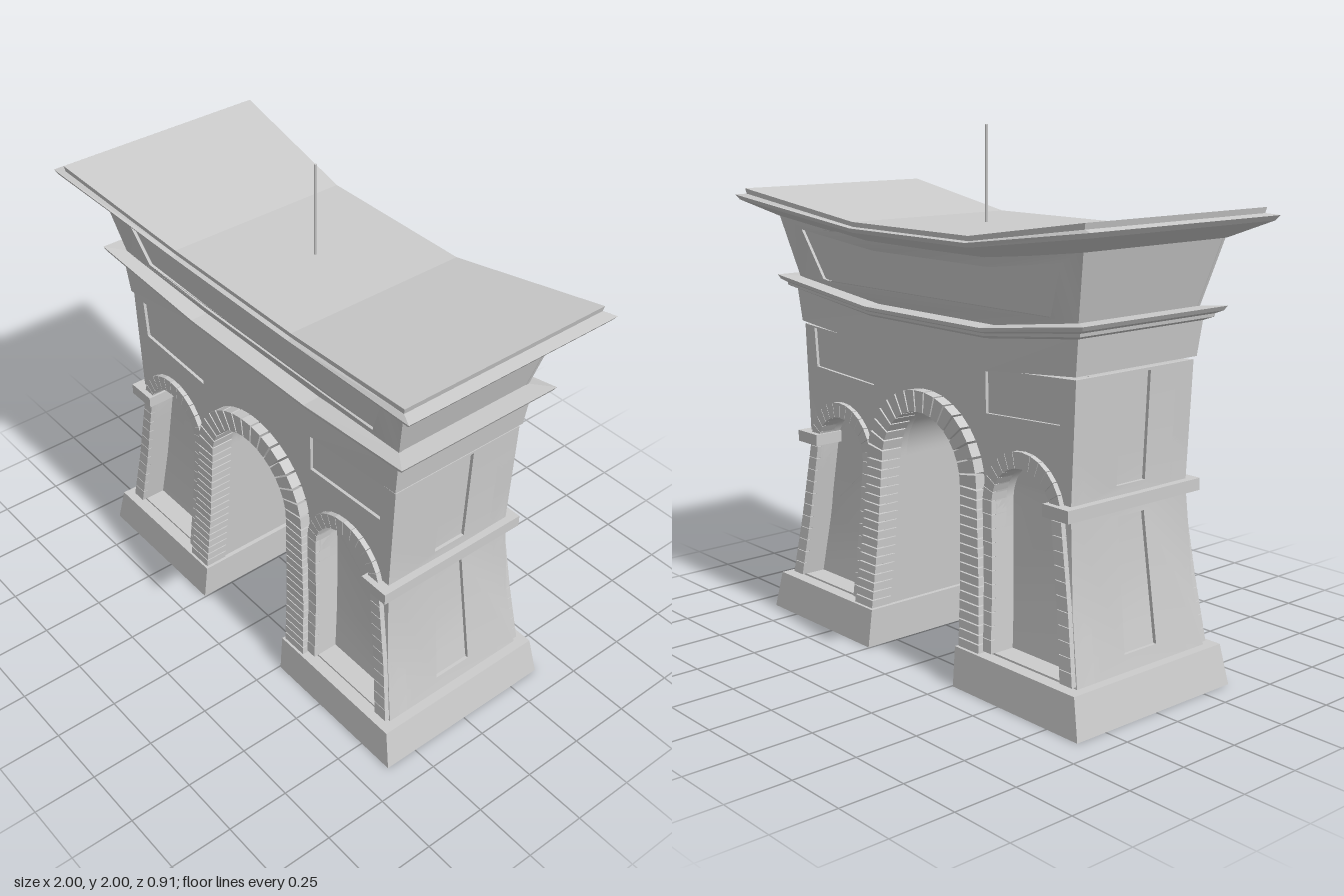
import * as THREE from 'three';
import { mergeGeometries, toCreasedNormals } from 'three/addons/utils/BufferGeometryUtils.js';

const material = new THREE.MeshStandardMaterial({ color: 0xcccccc });
const BREAK = 0.33; // the upper tiers are level inside this x and sweep up outside it
const LEVELS = [0.15, 0.25, 0.4, 0.55, 0.75, 0.95, 1.2];
const lerp = THREE.MathUtils.lerp;

// Piecewise linear lookup
function table(rows) {
  return (y) => {
    let i = 1;
    while (i < rows.length - 1 && y > rows[i][0]) i++;
    const [a, b] = [rows[i - 1], rows[i]];
    return lerp(a[1], b[1], THREE.MathUtils.clamp((y - a[0]) / (b[0] - a[0]), 0, 1));
  };
}
const halfWidth = table([[0.15, 0.83], [0.4, 0.785], [0.75, 0.755], [1.2, 0.775]]);
const halfDepth = table([[0.15, 0.32], [0.4, 0.3], [0.75, 0.285], [1.2, 0.288]]);

function mesh(name, geometry) {
  const m = new THREE.Mesh(geometry, material);
  m.name = name;
  return m;
}

const toShape = (pts) => new THREE.Shape(pts.map((p) => new THREE.Vector2(p[0], p[1])));

// Extrude a shape to unit depth, then move each vertex by a rule
function warped(points, holes, rule) {
  const shape = toShape(points);
  shape.holes = holes.map(toShape);
  const g = new THREE.ExtrudeGeometry(shape, { depth: 1, bevelEnabled: false });
  const p = g.attributes.position;
  for (let i = 0; i < p.count; i++) p.setXYZ(i, ...rule(p.getX(i), p.getY(i), p.getZ(i)));
  return toCreasedNormals(g, 0.5);
}

// Flat-shaded stack of rings: [middle y, half width, middle depth, end depth, end lift]
function tier(name, rings) {
  const loops = rings.map(([y, w, dm, de, lift]) => [
    [w, y + lift, de], [BREAK, y, dm], [-BREAK, y, dm], [-w, y + lift, de],
    [-w, y + lift, -de], [-BREAK, y, -dm], [BREAK, y, -dm], [w, y + lift, -de]]);
  const v = [];
  const quad = (a, b, c, d) => v.push(...a, ...b, ...c, ...a, ...c, ...d);
  for (let r = 0; r + 1 < loops.length; r++) {
    for (let i = 0; i < 8; i++) {
      const j = (i + 1) % 8;
      quad(loops[r][j], loops[r][i], loops[r + 1][i], loops[r + 1][j]);
    }
  }
  const lo = loops[0], hi = loops[loops.length - 1];
  for (const [a, b, c, d] of [[0, 1, 6, 7], [1, 2, 5, 6], [2, 3, 4, 5]]) {
    quad(lo[a], lo[b], lo[c], lo[d]);
    quad(hi[a], hi[d], hi[c], hi[b]);
  }
  const g = new THREE.BufferGeometry();
  g.setAttribute('position', new THREE.Float32BufferAttribute(v, 3));
  g.computeVertexNormals();
  return mesh(name, g);
}

// Arch line from the right foot over the crown to the left foot
function archLine({ foot, footY, cx, r, rise, spring }, legs, steps) {
  const pts = [];
  for (let i = 0; i < legs; i++) {
    const t = i / legs;
    pts.push([lerp(foot[0], cx + r, t), lerp(footY, spring, t)]);
  }
  for (let i = 0; i <= steps; i++) {
    const a = (Math.PI * i) / steps;
    pts.push([cx + r * Math.cos(a), spring + rise * Math.sin(a)]);
  }
  for (let i = legs - 1; i >= 0; i--) {
    const t = i / legs;
    pts.push([lerp(foot[1], cx - r, t), lerp(footY, spring, t)]);
  }
  return pts;
}

// Row of separate blocks between two arch lines, standing proud of the wall
function blocks(name, inner, outer, legs, steps, proud, gap) {
  const a = archLine(inner, legs, steps), b = archLine(outer, legs, steps);
  const mix = (p, q, t) => [lerp(p[0], q[0], t), lerp(p[1], q[1], t)];
  const list = [];
  for (let i = 0; i + 1 < a.length; i++) {
    const quad = [mix(a[i], a[i + 1], gap), mix(b[i], b[i + 1], gap),
      mix(b[i], b[i + 1], 1 - gap), mix(a[i], a[i + 1], 1 - gap)];
    list.push(warped(quad, [], (x, y, w) => [x, y, halfDepth(y) + lerp(-0.05, proud, w)]));
  }
  return mesh(name, mergeGeometries(list));
}

const gateInner = { foot: [0.26, -0.26], footY: 0.15, cx: 0, r: 0.23, rise: 0.23, spring: 0.74 };
const gateOuter = { foot: [0.37, -0.37], footY: 0.15, cx: 0, r: 0.32, rise: 0.31, spring: 0.74 };
const gateHole = { ...gateInner, foot: [0.268, -0.268], r: 0.238, rise: 0.238 };
const nicheInner = { foot: [0.765, 0.412], footY: 0.157, cx: 0.53, r: 0.152, rise: 0.145, spring: 0.71 };
const nicheOuter = { foot: [0.825, 0.37], footY: 0.157, cx: 0.53, r: 0.2, rise: 0.205, spring: 0.71 };
const flip = (pts) => pts.map(([x, y]) => [-x, y]);

// Wall outline with the gateway cut out of its foot
function wallOutline() {
  const right = LEVELS.map((y) => [halfWidth(y), y]);
  return [...right, [BREAK, 1.175], [-BREAK, 1.175], ...flip(right).reverse(),
    ...archLine(gateHole, 6, 28).reverse()];
}

// One decorated face: wall skins with recesses, arch blocks and the upper panel
function makeFace() {
  const face = new THREE.Group();
  const niche = archLine(nicheInner, 5, 20);
  const panel = [[0.325, 1.015], [0.7, 1.035], [0.713, 1.19], [0.325, 1.165]];
  const niches = [niche, flip(niche)];
  const skin = (name, holes, back, front) => mesh(name, warped(wallOutline(), holes,
    (x, y, w) => [x, y, halfDepth(y) - lerp(back, front, w)]));
  face.add(
    skin('nicheWall', niches, 0.085, 0.012),
    skin('panelWall', [...niches, panel, flip(panel)], 0.012, 0),
    blocks('gatewayBlocks', gateInner, gateOuter, 17, 17, 0.042, 0.07));
  const trim = blocks('nicheBlocks', nicheInner, nicheOuter, 11, 14, 0.02, 0.025);
  const other = trim.clone();
  other.geometry = blocks('', { ...nicheInner, foot: [-0.412, -0.765], cx: -0.53 },
    { ...nicheOuter, foot: [-0.37, -0.825], cx: -0.53 }, 11, 14, 0.02, 0.025).geometry;
  face.add(trim, other);

  // Attic frame: |s| to 1 is the level middle, 1 to 2 the rising end
  const outline = [[-2, 0], [-1, 0], [1, 0], [2, 0], [2, 1], [1, 1], [-1, 1], [-2, 1]];
  const hole = [[-1.68, 0.1], [-1, 0.1], [1, 0.1], [1.68, 0.1], [1.78, 0.82], [1, 0.82], [-1, 0.82], [-1.78, 0.82]];
  face.add(mesh('atticFrame', warped(outline, [hole], (s, v, w) => {
    const t = Math.max(0, Math.abs(s) - 1), width = lerp(0.79, 0.86, v);
    const x = Math.sign(s) * (BREAK * Math.min(1, Math.abs(s)) + t * (width - BREAK));
    const z = lerp(lerp(0.25, 0.285, v), lerp(0.295, 0.345, v), t);
    return [x, lerp(1.32, 1.575, v) + 0.068 * t, z - 0.012 * (1 - w)];
  })));
  return face;
}

// One end: plinth, side wall with two recessed panels, impost band
function makeEnd() {
  const end = new THREE.Group();
  const plinth = new THREE.BoxGeometry(0.645, 0.15, 0.77).translate(0.5775, 0.075, 0);
  const p = plinth.attributes.position;
  for (let i = 0; i < p.count; i++) {
    if (p.getY(i) < 0.1) continue;
    p.setZ(i, Math.sign(p.getZ(i)) * 0.37);
    p.setX(i, p.getX(i) > 0.5 ? 0.867 : 0.25);
  }
  plinth.computeVertexNormals();
  const edge = LEVELS.map((y) => [halfDepth(y) - 0.003, y]);
  const upper = [[-0.07, 0.8], [0.07, 0.8], [0.07, 1.19], [-0.07, 1.19]];
  const lower = [[-0.08, 0.21], [0.08, 0.21], [0.065, 0.69], [-0.065, 0.69]];
  const side = warped([...edge, ...flip(edge).reverse()], [upper, lower],
    (u, y, w) => [halfWidth(y) - 0.014 * (1 - w), y, -u]);
  const band = new THREE.BoxGeometry(0.125, 0.045, 0.655).translate(0.7225, 0.743, 0);
  end.add(mesh('plinth', plinth), mesh('sideWall', side), mesh('impostBand', band));
  return end;
}

export function createModel() {
  const model = new THREE.Group();
  model.name = 'triumphalArch';

  // Solid core behind the recesses
  model.add(mesh('core', warped(wallOutline(), [], (x, y, w) => [
    Math.abs(x) > 0.5 ? x - Math.sign(x) * 0.013 : x, y, (halfDepth(y) - 0.085) * (2 * w - 1)])));

  // Two faces and two ends, each turned half round
  for (const [i, label] of ['front', 'back'].entries()) {
    const face = makeFace();
    face.name = label + 'Face';
    face.rotation.y = i * Math.PI;
    const end = makeEnd();
    end.name = i ? 'rightEnd' : 'leftEnd';
    end.rotation.y = i * Math.PI;
    model.add(face, end);
  }

  // Swept upper tiers
  model.add(
    tier('frieze', [[1.17, 0.782, 0.293, 0.296, 0.042], [1.29, 0.8, 0.293, 0.305, 0.06]]),
    tier('lowerCornice', [
      [1.283, 0.8, 0.293, 0.305, 0.058], [1.292, 0.83, 0.305, 0.328, 0.062],
      [1.302, 0.832, 0.307, 0.33, 0.064], [1.308, 0.858, 0.318, 0.345, 0.07],
      [1.322, 0.868, 0.322, 0.352, 0.072], [1.325, 0.79, 0.25, 0.295, 0.066]]),
    tier('attic', [[1.32, 0.788, 0.238, 0.283, 0.068], [1.575, 0.858, 0.273, 0.333, 0.068]]),
    tier('roofCornice', [
      [1.56, 0.86, 0.29, 0.345, 0.07], [1.603, 0.985, 0.373, 0.445, 0.088],
      [1.62, 1, 0.386, 0.456, 0.09], [1.625, 0.952, 0.37, 0.433, 0.09],
      [1.643, 0.957, 0.372, 0.436, 0.093]]));

  // Flagpole
  const pole = mesh('flagpole', new THREE.CylinderGeometry(0.005, 0.006, 0.36, 8));
  pole.position.y = 1.82;
  model.add(pole);
  return model;
}
